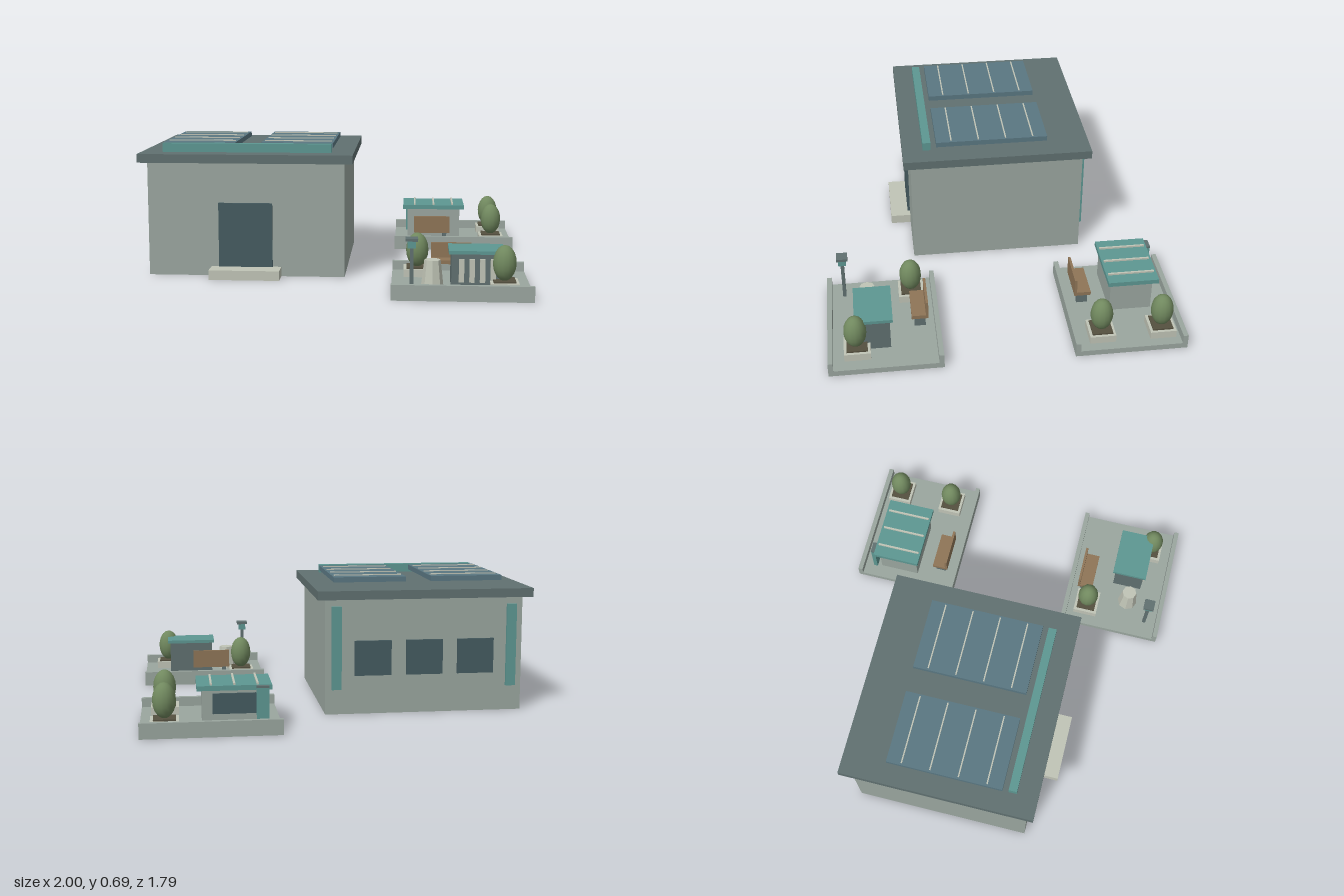
import * as THREE from 'three';

const mat = (color, flat = false) => new THREE.MeshStandardMaterial({ color, flatShading: flat });
const wall = mat(0x9aa69f), slate = mat(0x607070), teal = mat(0x5d9792), glass = mat(0x455b60),
  solar = mat(0x5a7782), stone = mat(0xc0c4b6), wood = mat(0x8e7557), soil = mat(0x55503f),
  leaf = mat(0x71895f), pot = mat(0xc0c4b6, true);

// Box given by its extents on each axis
function box(parent, name, material, [x0, x1], [y0, y1], [z0, z1]) {
  const m = new THREE.Mesh(new THREE.BoxGeometry(x1 - x0, y1 - y0, z1 - z0), material);
  m.position.set((x0 + x1) / 2, (y0 + y1) / 2, (z0 + z1) / 2);
  m.name = name;
  parent.add(m);
  return m;
}

const around = (c, w) => [c - w / 2, c + w / 2];

function group(parent, name) {
  const g = new THREE.Group();
  g.name = name;
  parent.add(g);
  return g;
}

function addBuilding(root) {
  const g = group(root, 'mainBuilding');
  const cx = -0.4425;
  box(g, 'walls', wall, [-0.955, 0.07], [0, 0.595], [-0.513, 0.417]);
  box(g, 'roofSlab', slate, [-1, 0.112], [0.595, 0.64], [-0.555, 0.455]);
  box(g, 'door', glass, [-0.585, -0.305], [0.05, 0.385], [0.41, 0.43]);
  box(g, 'doorStep', stone, [-0.625, -0.26], [0, 0.05], [0.41, 0.527]);
  box(g, 'roofBeam', teal, [-0.888, -0.003], [0.64, 0.685], [0.302, 0.345]);

  // Solar panels with cross bars
  for (const x of [-0.705, -0.19]) {
    box(g, 'solarPanel', solar, around(x, 0.38), [0.657, 0.684], [-0.328, 0.272]);
    for (let i = 0; i < 4; i++)
      box(g, 'panelBar', stone, around(x, 0.36), [0.682, 0.689], around(-0.25 + i * 0.147, 0.007));
  }

  // Rear windows and corner strips
  for (const i of [-1, 0, 1])
    box(g, 'rearWindow', glass, around(cx + i * 0.267, 0.19), [0.2, 0.38], [-0.525, -0.505]);
  for (const s of [-1, 1])
    box(g, 'rearStrip', teal, around(cx + s * 0.455, 0.05), [0.13, 0.557], [-0.53, -0.505]);
}

// Ground slab with raised kerbs at its front and rear edges
function addPad(root, name, z0, z1) {
  const g = group(root, name);
  const x = [0.317, 1];
  box(g, 'slab', wall, x, [0, 0.03], [z0, z1]);
  box(g, 'rearKerb', wall, x, [0.03, 0.077], [z0, z0 + 0.025]);
  box(g, 'frontKerb', wall, x, [0.03, 0.077], [z1 - 0.025, z1]);
  return g;
}

function addPlanter(parent, x, z, dx = 0, dz = 0) {
  const g = group(parent, 'planter');
  box(g, 'planterBox', stone, around(x, 0.138), [0.03, 0.07], around(z, 0.132));
  box(g, 'planterSoil', soil, around(x, 0.108), [0.06, 0.078], around(z, 0.104));
  const tree = new THREE.Mesh(new THREE.SphereGeometry(1, 14, 10), leaf);
  tree.name = 'shrub';
  tree.scale.set(0.057, 0.088, 0.057);
  tree.position.set(x + dx, 0.161, z + dz);
  g.add(tree);
}

// Bench: z is the outer face of the backrest, dir the way the seat faces
function addBench(parent, x, z, dir) {
  const g = group(parent, 'bench');
  const span = (a, b) => [z + dir * a, z + dir * b].sort((p, q) => p - q);
  box(g, 'benchSeat', wood, around(x, 0.207), [0.088, 0.108], span(0, 0.086));
  box(g, 'benchBack', wood, around(x, 0.207), [0.108, 0.186], span(0, 0.013));
  for (const s of [-1, 1])
    box(g, 'benchLeg', slate, around(x + s * 0.075, 0.022), [0.03, 0.088], span(0.015, 0.072));
}

function addRearPad(root) {
  const g = addPad(root, 'rearPad', -0.897, -0.328);
  // Pavilion with battened roof, rear window and corner post
  const k = group(g, 'pavilion');
  box(k, 'pavilionBody', wall, [0.39, 0.7], [0.03, 0.205], [-0.775, -0.557]);
  box(k, 'pavilionRoof', teal, [0.364, 0.726], [0.203, 0.227], [-0.802, -0.54]);
  for (const i of [-1, 0, 1])
    box(k, 'roofBatten', stone, around(0.545 + i * 0.112, 0.01), [0.225, 0.236], [-0.79, -0.55]);
  box(k, 'pavilionWindow', glass, [0.44, 0.65], [0.085, 0.185], [-0.785, -0.765]);
  box(k, 'cornerPost', teal, [0.38, 0.44], [0.03, 0.215], [-0.822, -0.8]);
  box(k, 'postCap', slate, [0.38, 0.44], [0.215, 0.225], [-0.824, -0.802]);

  addBench(g, 0.533, -0.384, -1);
  addPlanter(g, 0.88, -0.784);
  addPlanter(g, 0.88, -0.475);
}

function addFrontPad(root) {
  const g = addPad(root, 'frontPad', 0.328, 0.897);
  // Small cabin with slatted front
  const k = group(g, 'cabin');
  box(k, 'cabinBody', slate, [0.61, 0.855], [0.03, 0.202], [0.583, 0.745]);
  box(k, 'cabinRoof', teal, [0.597, 0.87], [0.2, 0.217], [0.568, 0.758]);
  for (let i = 0; i < 4; i++)
    box(k, 'cabinSlat', stone, around(0.659 + i * 0.051, 0.026), [0.06, 0.176], [0.74, 0.755]);

  // Tapered octagonal pot
  const bin = new THREE.Mesh(new THREE.CylinderGeometry(0.04, 0.055, 0.128, 8), pot);
  bin.name = 'taperedPot';
  bin.position.set(0.519, 0.094, 0.686);
  g.add(bin);

  // Lamp post
  const lamp = group(g, 'lampPost');
  box(lamp, 'lampPole', slate, around(0.417, 0.018), [0.03, 0.245], around(0.807, 0.018));
  box(lamp, 'lampHead', teal, around(0.417, 0.04), [0.24, 0.277], around(0.807, 0.04));
  box(lamp, 'lampCap', slate, around(0.417, 0.06), [0.275, 0.289], around(0.807, 0.058));

  addBench(g, 0.62, 0.384, 1);
  addPlanter(g, 0.445, 0.458);
  addPlanter(g, 0.866, 0.751, 0, 0.005);
}

export function createModel() {
  const root = new THREE.Group();
  root.name = 'siteModel';
  addBuilding(root);
  addRearPad(root);
  addFrontPad(root);
  return root;
}
